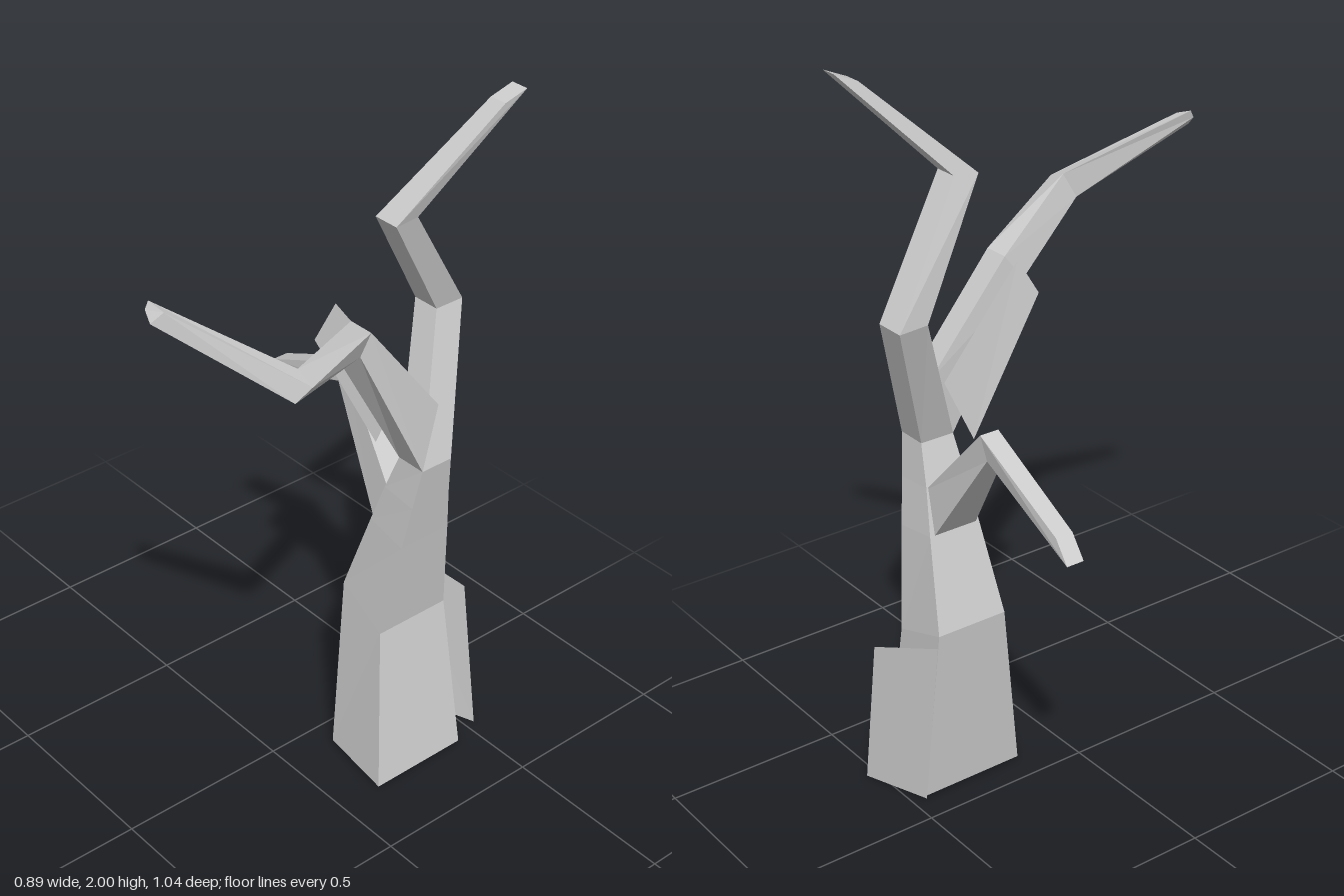
import * as THREE from 'three';

const bark = new THREE.MeshStandardMaterial({ color: 0xcccccc, flatShading: true, side: THREE.DoubleSide });

function meshFrom(name, positions, index) {
  const geo = new THREE.BufferGeometry();
  geo.setAttribute('position', new THREE.Float32BufferAttribute(positions.flat(), 3));
  geo.setIndex(index);
  const flat = geo.toNonIndexed();
  flat.computeVertexNormals();
  const mesh = new THREE.Mesh(flat, bark);
  mesh.name = name;
  return mesh;
}

// Joins four-cornered rings (counter-clockwise seen from the tip) into a limb.
function limb(name, rings, { sides = [0, 1, 2, 3], cap = false } = {}) {
  const index = [];
  for (let r = 0; r < rings.length - 1; r++) {
    for (const i of sides) {
      const a = r * 4 + i, b = r * 4 + (i + 1) % 4;
      index.push(a, b, b + 4, a, b + 4, a + 4);
    }
  }
  if (cap) {
    const e = (rings.length - 1) * 4;
    index.push(e, e + 1, e + 2, e, e + 2, e + 3);
  }
  return meshFrom(name, rings.flat(), index);
}

const panel = (name, corners) => meshFrom(name, corners, [0, 1, 2, 0, 2, 3]);

export function createModel() {
  const tree = new THREE.Group();
  tree.name = 'deadTree';

  // Shared rings where the pieces meet: front left, front right, back right, back left
  const foot = [[0.08, 0.01, -0.155], [0.31, 0.01, -0.125], [0.31, 0.01, -0.43], [0.08, 0.01, -0.46]];
  const waist = [[0.04, 0.52, -0.22], [0.22, 0.46, -0.195], [0.22, 0.46, -0.43], [0.04, 0.52, -0.43]];
  const fork = [[0.2, 1, -0.26], [0.29, 1, -0.26], [0.29, 1, -0.36], [0.2, 1, -0.36]];

  // Lower trunk is open at the back, with its rear bark standing away from it
  tree.add(limb('lowerTrunk', [foot, waist], { sides: [0, 1, 3] }));
  tree.add(panel('looseRearBark', [
    [0.27, 0, -0.53], [0.08, 0, -0.46], [0, 0.515, -0.462], [0.2, 0.45, -0.53],
  ]));

  tree.add(limb('upperTrunk', [
    waist,
    [[0.12, 0.77, -0.24], [0.255, 0.75, -0.23], [0.255, 0.75, -0.395], [0.12, 0.77, -0.395]],
    [[0.16, 0.89, -0.25], [0.273, 0.88, -0.245], [0.273, 0.88, -0.375], [0.16, 0.89, -0.375]],
    fork,
  ]));

  // Side branch, bending down at its elbow
  tree.add(limb('sideBranch', [
    [[0.12, 0.77, -0.38], [0.12, 0.77, -0.25], [0.17, 0.88, -0.255], [0.17, 0.88, -0.37]],
    [[-0.1, 1.07, -0.365], [-0.1, 1.07, -0.31], [-0.08, 1.135, -0.315], [-0.08, 1.135, -0.37]],
    [[-0.45, 0.935, -0.385], [-0.45, 0.935, -0.335], [-0.4, 0.99, -0.33], [-0.4, 0.99, -0.38]],
  ], { cap: true }));

  // Tall zigzag limb
  tree.add(limb('tallLimb', [
    fork,
    [[0.09, 1.38, -0.4], [0.17, 1.38, -0.4], [0.17, 1.38, -0.49], [0.08, 1.38, -0.49]],
    [[0.16, 1.71, -0.19], [0.235, 1.71, -0.19], [0.235, 1.715, -0.26], [0.165, 1.715, -0.26]],
    [[0.25, 1.975, -0.47], [0.3, 1.975, -0.47], [0.31, 2, -0.53], [0.26, 2, -0.53]],
  ], { cap: true }));

  // Forward limb, swinging out and back toward the front
  tree.add(limb('forwardLimb', [
    [[0.2, 1, -0.26], [0.29, 1, -0.26], [0.27, 1.17, -0.325], [0.2, 1.17, -0.325]],
    [[0.17, 1.39, -0.05], [0.25, 1.4, -0.07], [0.255, 1.46, -0.1], [0.18, 1.46, -0.1]],
    [[0.36, 1.485, 0.27], [0.42, 1.49, 0.28], [0.44, 1.53, 0.245], [0.38, 1.55, 0.24]],
    [[0.165, 1.71, 0.51], [0.19, 1.685, 0.515], [0.21, 1.715, 0.49], [0.165, 1.73, 0.5]],
  ], { cap: true }));

  // Loose sliver beside the forward limb
  tree.add(panel('looseSliver', [
    [0.12, 1.01, -0.25], [0.09, 1.38, -0.06], [0.11, 1.475, -0.11], [0.145, 1.18, -0.32],
  ]));

  return tree;
}
